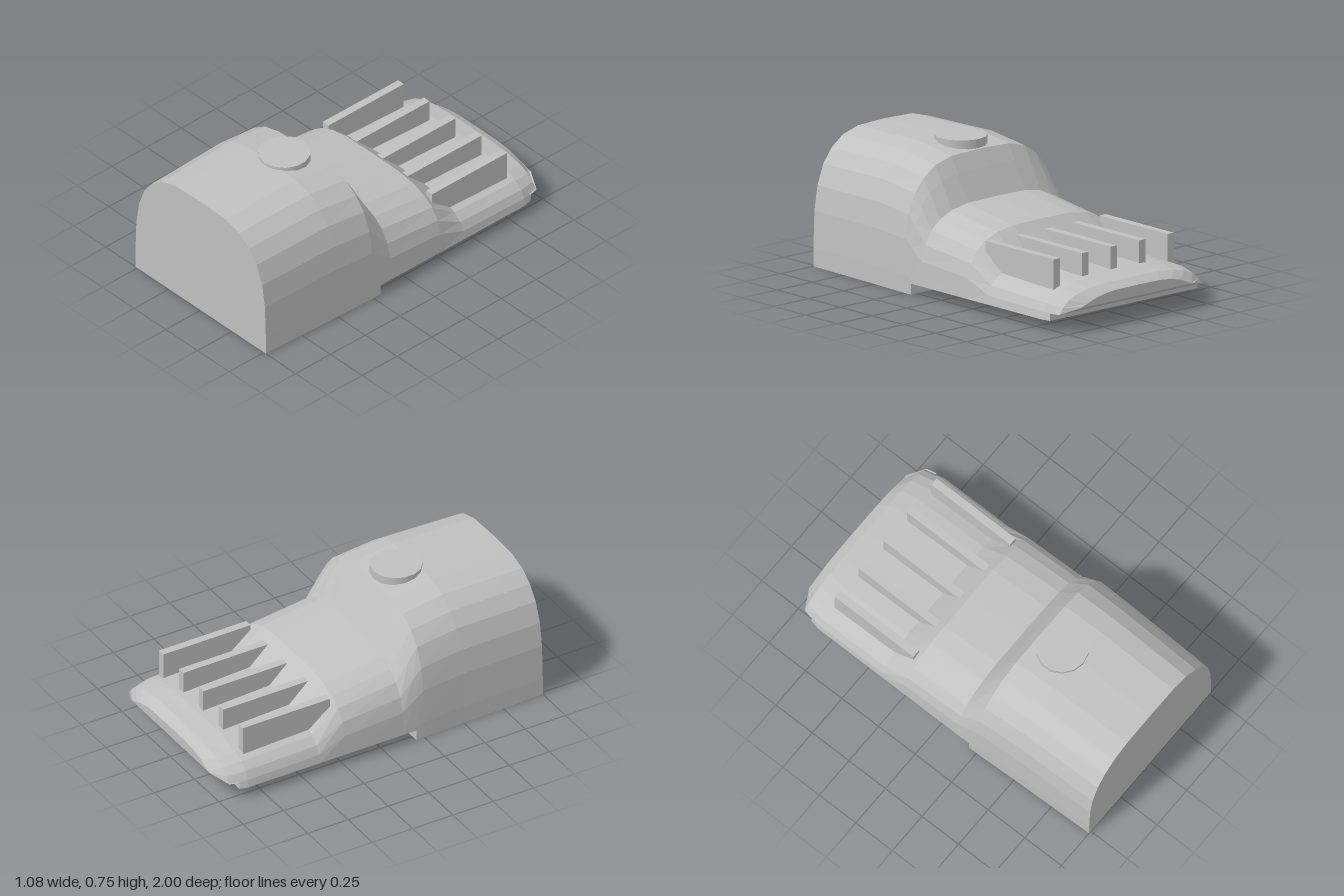
import * as THREE from 'three';

// Half of the arched cross-section: [fraction of half width, fraction of height]
const ARCH = [[1, 0], [1, 0.14], [0.985, 0.42], [0.943, 0.607], [0.86, 0.762],
  [0.745, 0.868], [0.59, 0.948], [0.38, 0.991], [0, 1]];

// Stations along the body: [z, underside, crown height, half width]
const STATIONS = [
  [1, 0, 0.725, 0.515], [0.5, 0, 0.735, 0.53], [0.25, 0, 0.7, 0.54],
  [0.2, 0, 0.613, 0.54], [0.2, 0.06, 0.613, 0.54], [0.12, 0.06, 0.465, 0.54],
  [-0.24, 0.06, 0.41, 0.54], [-0.4, 0.06, 0.26, 0.54], [-0.84, 0.06, 0.24, 0.54],
  [-0.89, 0.06, 0.231, 0.528], [-0.89, 0.1, 0.231, 0.528],
  [-0.945, 0.1, 0.222, 0.515], [-1, 0.13, 0.19, 0.41],
];

// Closed ring of points, from the left foot over the crown to the right foot
function ring([z, base, top, half]) {
  const left = ARCH.map(([u, v]) => new THREE.Vector3(u * half, Math.max(base, v * top), z));
  const right = left.slice(0, -1).reverse().map((p) => new THREE.Vector3(-p.x, p.y, z));
  return [...left, ...right];
}

// Faceted skin through all the rings, with a cap at each end
function loft(rings) {
  const points = [];
  const n = rings[0].length;
  for (let i = 0; i < rings.length - 1; i++) {
    for (let j = 0; j < n; j++) {
      const k = (j + 1) % n;
      const a = rings[i][j], b = rings[i][k], c = rings[i + 1][k], d = rings[i + 1][j];
      points.push(a, d, c, a, c, b);
    }
  }
  const first = rings[0], last = rings[rings.length - 1];
  for (let j = 1; j < n - 1; j++) {
    points.push(first[0], first[j], first[j + 1], last[0], last[j + 1], last[j]);
  }
  const geometry = new THREE.BufferGeometry().setFromPoints(points);
  geometry.computeVertexNormals();
  return geometry;
}

export function createModel() {
  const model = new THREE.Group();
  const grey = new THREE.MeshStandardMaterial({ color: 0xc0c0c0 });
  grey.name = 'plain grey';

  const add = (name, geometry, x = 0, y = 0, z = 0) => {
    const mesh = new THREE.Mesh(geometry, grey);
    mesh.name = name;
    mesh.position.set(x, y, z);
    model.add(mesh);
  };

  add('body', loft(STATIONS.map(ring)));

  // Round button on the crown
  add('button', new THREE.CylinderGeometry(0.141, 0.141, 0.06, 14), 0, 0.72, 0.4);

  // Five upright fins on the low end
  for (let i = -2; i <= 2; i++) {
    add('fin', new THREE.BoxGeometry(0.045, 0.215, 0.54), i * 0.204, 0.2575, -0.54);
  }
  return model;
}
